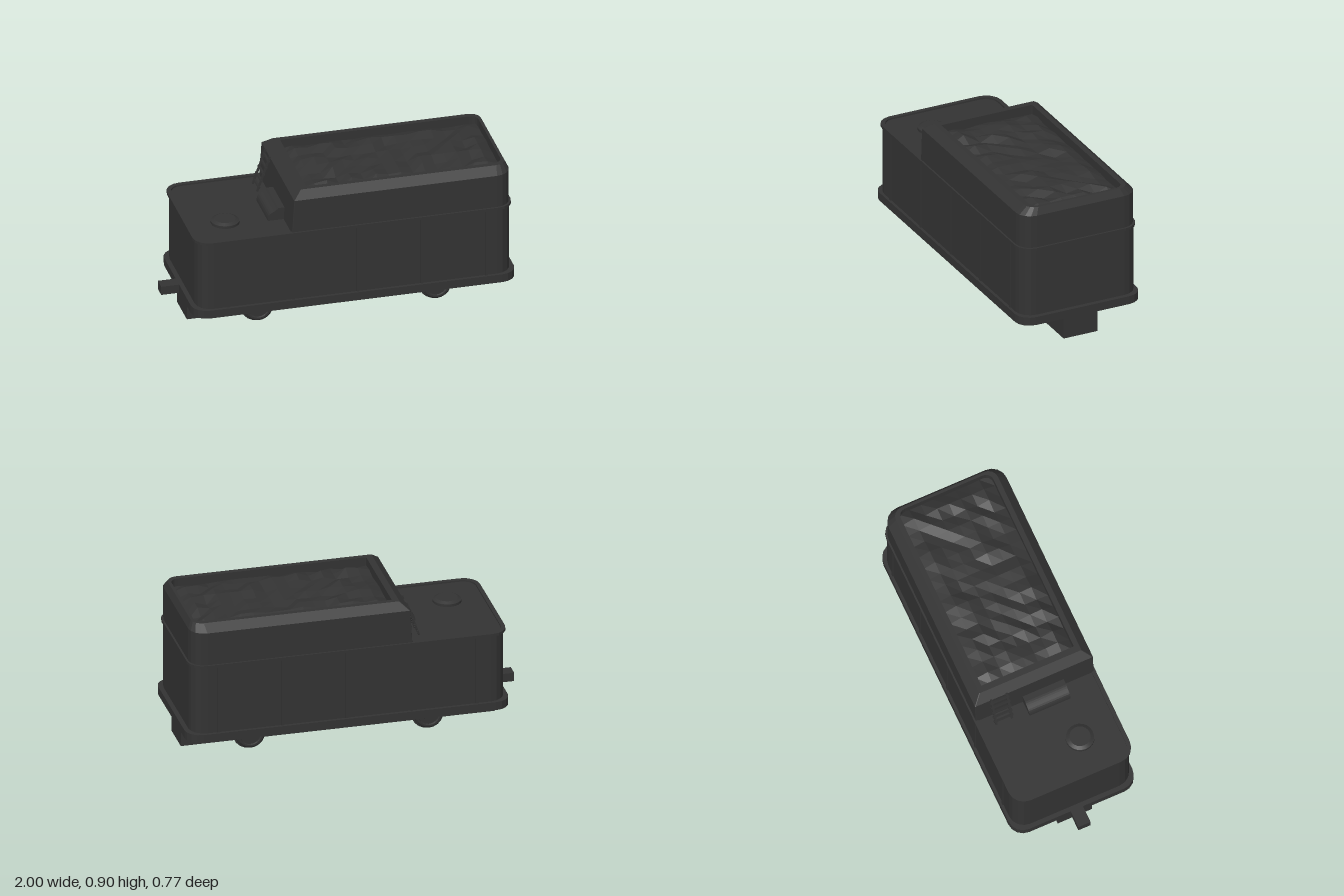
import * as THREE from 'three';

const blackPaint = new THREE.MeshStandardMaterial({ color: 0x333333 });

function part(name, geometry, x = 0, y = 0, z = 0) {
  const mesh = new THREE.Mesh(geometry, blackPaint);
  mesh.name = name;
  mesh.position.set(x, y, z);
  return mesh;
}

const box = (name, w, h, d, x, y, z) => part(name, new THREE.BoxGeometry(w, h, d), x, y, z);

// Rounded rectangle at height y; rl and rr are the corner radii of the -x and +x ends
function ring([y, x0, x1, z, rl, rr]) {
  const pts = [];
  const corners = [[x1 - rr, z - rr, rr], [x0 + rl, z - rl, rl], [x0 + rl, rl - z, rl], [x1 - rr, rr - z, rr]];
  corners.forEach(([cx, cz, r], k) => {
    for (let i = 0; i <= 4; i++) {
      const a = (k + i / 4) * Math.PI / 2;
      pts.push(new THREE.Vector3(cx + r * Math.cos(a), y, cz + r * Math.sin(a)));
    }
  });
  return pts;
}

// Faceted skin through a stack of rings, closed at both ends
function loft(levels) {
  const rings = levels.map(ring);
  const tris = [];
  const n = rings[0].length;
  for (let k = 0; k < rings.length - 1; k++) {
    const p = rings[k], q = rings[k + 1];
    for (let i = 0; i < n; i++) {
      const j = (i + 1) % n;
      tris.push(p[i], q[i], p[j], p[j], q[i], q[j]);
    }
  }
  const bottom = rings[0], top = rings[rings.length - 1];
  for (let i = 1; i < n - 1; i++) {
    tris.push(bottom[0], bottom[i], bottom[i + 1], top[0], top[i + 1], top[i]);
  }
  const g = new THREE.BufferGeometry().setFromPoints(tris);
  g.computeVertexNormals();
  return g;
}

function makeWheel(x, side) {
  // Flange, tread, raised tyre ring, recessed web and hub
  const profile = [[0, 0], [0.097, 0], [0.097, 0.02], [0.086, 0.023], [0.084, 0.05], [0.074, 0.058],
    [0.064, 0.058], [0.06, 0.05], [0.034, 0.05], [0.032, 0.064], [0, 0.064]];
  const g = new THREE.LatheGeometry(profile.map(p => new THREE.Vector2(...p)), 20).toNonIndexed();
  g.computeVertexNormals();
  const wheel = part('wheel', g, x, 0.097, side * 0.125);
  wheel.rotation.x = side * Math.PI / 2;
  return wheel;
}

function makeCoal() {
  let seed = 7;
  const rand = () => (seed = (seed * 16807) % 2147483647) / 2147483647;
  const nx = 16, nz = 8;
  const g = new THREE.PlaneGeometry(1.16, 0.58, nx, nz).rotateX(-Math.PI / 2);
  const p = g.attributes.position;
  for (let i = 0; i < p.count; i++) {
    const col = i % (nx + 1), row = Math.floor(i / (nx + 1));
    const edge = col === 0 || col === nx || row === 0 || row === nz;
    p.setY(i, edge ? rand() * 0.015 : 0.012 + rand() * 0.035);
  }
  const flat = g.toNonIndexed();
  flat.computeVertexNormals();
  return part('coal', flat, 0.358, 0.84, 0);
}

function makeLadder() {
  const ladder = new THREE.Group();
  ladder.name = 'ladder';
  for (const s of [-1, 1]) ladder.add(box('ladderRail', 0.01, 0.225, 0.012, 0, 0, s * 0.048));
  for (let i = 0; i < 5; i++) ladder.add(box('ladderRung', 0.012, 0.01, 0.12, 0, -0.084 + i * 0.042, 0));
  ladder.position.set(-0.345, 0.758, -0.22);
  ladder.rotation.z = -0.34;
  return ladder;
}

export function createModel() {
  const model = new THREE.Group();
  model.name = 'coalTender';

  // Running gear
  model.add(box('underframe', 1.84, 0.145, 0.215, 0.052, 0.1115, 0));
  for (const x of [-0.465, 0.58]) for (const side of [-1, 1]) model.add(makeWheel(x, side));
  model.add(box('coupler', 0.14, 0.052, 0.076, -0.93, 0.204, 0));

  // Footplate and tank
  model.add(part('footplate', loft([
    [0.18, -0.895, 1, 0.386, 0.09, 0.09],
    [0.23, -0.895, 1, 0.386, 0.09, 0.09]])));
  model.add(part('tank', loft([
    [0.22, -0.868, 0.973, 0.369, 0.09, 0.09],
    [0.645, -0.868, 0.973, 0.369, 0.09, 0.09]])));

  // Raised lip around the deck
  model.add(part('deckRim', loft([
    [0.641, -0.882, 0.984, 0.377, 0.095, 0.095],
    [0.657, -0.882, 0.984, 0.377, 0.095, 0.095],
    [0.657, -0.858, 0.96, 0.353, 0.075, 0.075],
    [0.647, -0.858, 0.96, 0.353, 0.075, 0.075]])));

  // Vertical seam strips on both sides
  for (const x of [-0.695, -0.313, 0.067, 0.442, 0.82]) {
    for (const s of [-1, 1]) model.add(box('seamStrip', 0.015, 0.412, 0.012, x, 0.436, s * 0.369));
  }

  // Coal bunker with bevelled top and open well
  model.add(part('bunker', loft([
    [0.645, -0.319, 0.973, 0.367, 0.004, 0.09],
    [0.857, -0.306, 0.973, 0.367, 0.004, 0.09],
    [0.9, -0.255, 0.952, 0.318, 0.004, 0.06],
    [0.9, -0.217, 0.935, 0.288, 0.004, 0.045],
    [0.82, -0.217, 0.935, 0.288, 0.004, 0.045]])));
  model.add(makeCoal());

  // Filler hatch with chamfered lid
  model.add(part('hatchBase', new THREE.CylinderGeometry(0.083, 0.083, 0.016, 20), -0.65, 0.654, 0.13));
  model.add(part('hatchLid', new THREE.CylinderGeometry(0.06, 0.08, 0.01, 20), -0.65, 0.667, 0.13));

  // Toolbox with curved lid against the bunker
  const shape = new THREE.Shape();
  shape.moveTo(-0.31, 0.645);
  shape.lineTo(-0.31, 0.722);
  shape.lineTo(-0.35, 0.722);
  shape.quadraticCurveTo(-0.365, 0.705, -0.39, 0.695);
  shape.quadraticCurveTo(-0.41, 0.685, -0.412, 0.645);
  model.add(part('toolbox',
    new THREE.ExtrudeGeometry(shape, { depth: 0.255, bevelEnabled: false, curveSegments: 4 }), 0, 0, -0.075));

  model.add(makeLadder());
  return model;
}
